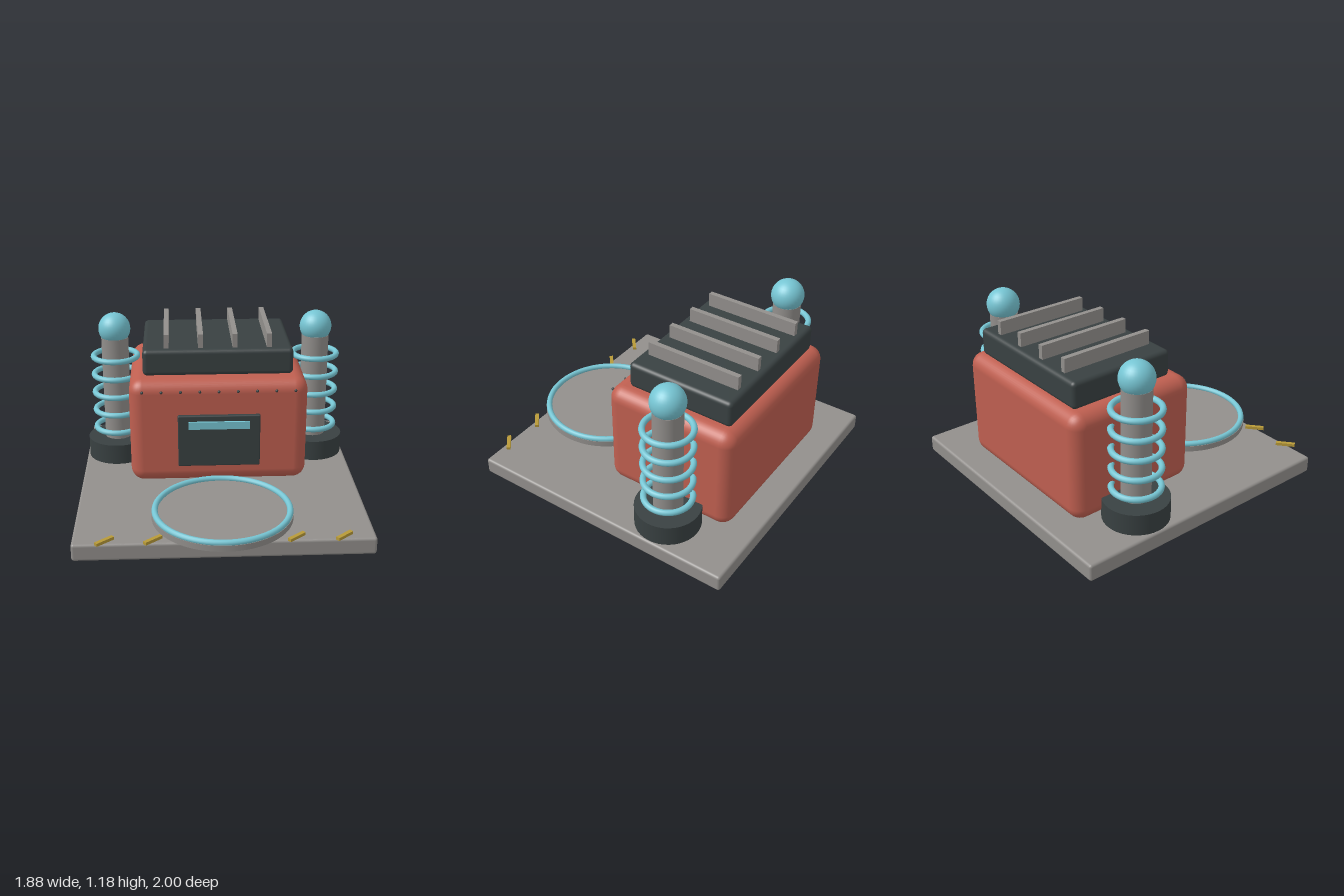
import * as THREE from 'three';
import { RoundedBoxGeometry } from 'three/addons/geometries/RoundedBoxGeometry.js';

const paint = (name, color) => {
  const m = new THREE.MeshStandardMaterial({ color });
  m.name = name;
  return m;
};

export function createModel() {
  const model = new THREE.Group();
  model.name = 'generator';
  const grey = paint('steel grey', 0x928f8c);
  const red = paint('brick red', 0xbf5f50);
  const dark = paint('charcoal', 0x394142);
  const cyan = paint('glowing cyan', 0x76c5d3);
  const yellow = paint('hazard yellow', 0xb89a38);

  const add = (name, geometry, material, x, y, z, parent = model) => {
    const mesh = new THREE.Mesh(geometry, material);
    mesh.name = name;
    mesh.position.set(x, y, z);
    parent.add(mesh);
    return mesh;
  };
  const rounded = (w, h, d, r) => new RoundedBoxGeometry(w, h, d, 4, r);

  // Floor slab, housing and lid
  add('floorSlab', rounded(1.88, 0.115, 1.88, 0.018), grey, 0, 0.0575, -0.06);
  add('housing', rounded(1.2, 0.735, 0.92, 0.09), red, 0, 0.4925, -0.38);
  add('lid', rounded(1.01, 0.18, 0.74, 0.03), dark, 0, 0.95, -0.405);

  // Cooling fins
  for (let i = 0; i < 4; i++) {
    add('coolingFin', new THREE.BoxGeometry(0.034, 0.11, 0.645), grey, -0.345 + i * 0.23, 1.077, -0.408);
  }

  // Control panel with its screen
  add('controlPanel', rounded(0.553, 0.365, 0.04, 0.008), dark, 0, 0.443, 0.088);
  add('screen', new THREE.BoxGeometry(0.41, 0.052, 0.03), cyan, 0, 0.561, 0.108);

  // Rivets along the top of the housing front
  for (let i = 0; i < 9; i++) {
    add('rivet', new THREE.SphereGeometry(0.01, 10, 8), dark, -0.51 + i * 0.1275, 0.79, 0.088);
  }

  // Coil towers on both sides
  for (const side of [-1, 1]) {
    const tower = new THREE.Group();
    tower.name = side > 0 ? 'leftCoilTower' : 'rightCoilTower';
    tower.position.set(side * 0.71, 0, -0.472);
    model.add(tower);
    const foot = [[0, 0.115], [0.215, 0.115], [0.215, 0.25], [0.207, 0.258], [0, 0.258]];
    add('towerFoot', new THREE.CylinderGeometry(0.215, 0.215, foot[4][1] - 0.115, 40), dark, 0, 0.187, 0, tower);
    add('column', new THREE.CylinderGeometry(0.095, 0.095, 0.75, 32), grey, 0, 0.63, 0, tower);
    add('electrode', new THREE.SphereGeometry(0.112, 32, 20), cyan, 0, 1.066, 0, tower);
    for (let i = 0; i < 5; i++) {
      const ring = add('coilRing', new THREE.TorusGeometry(0.155, 0.02, 12, 48), cyan, 0, 0.33 + i * 0.134, 0, tower);
      ring.rotation.x = Math.PI / 2;
    }
  }

  // Round platform with a glowing rim
  add('platform', new THREE.CylinderGeometry(0.455, 0.455, 0.04, 64), grey, 0, 0.137, 0.545);
  const rim = add('platformRim', new THREE.TorusGeometry(0.434, 0.02, 12, 72), cyan, 0, 0.166, 0.545);
  rim.rotation.x = Math.PI / 2;

  // Slanted hazard markers along the front edge
  for (const x of [-0.735, -0.44, 0.44, 0.735]) {
    add('hazardMarker', new THREE.BoxGeometry(0.13, 0.02, 0.026), yellow, x, 0.13, 0.86).rotation.y = 0.7;
  }
  return model;
}
